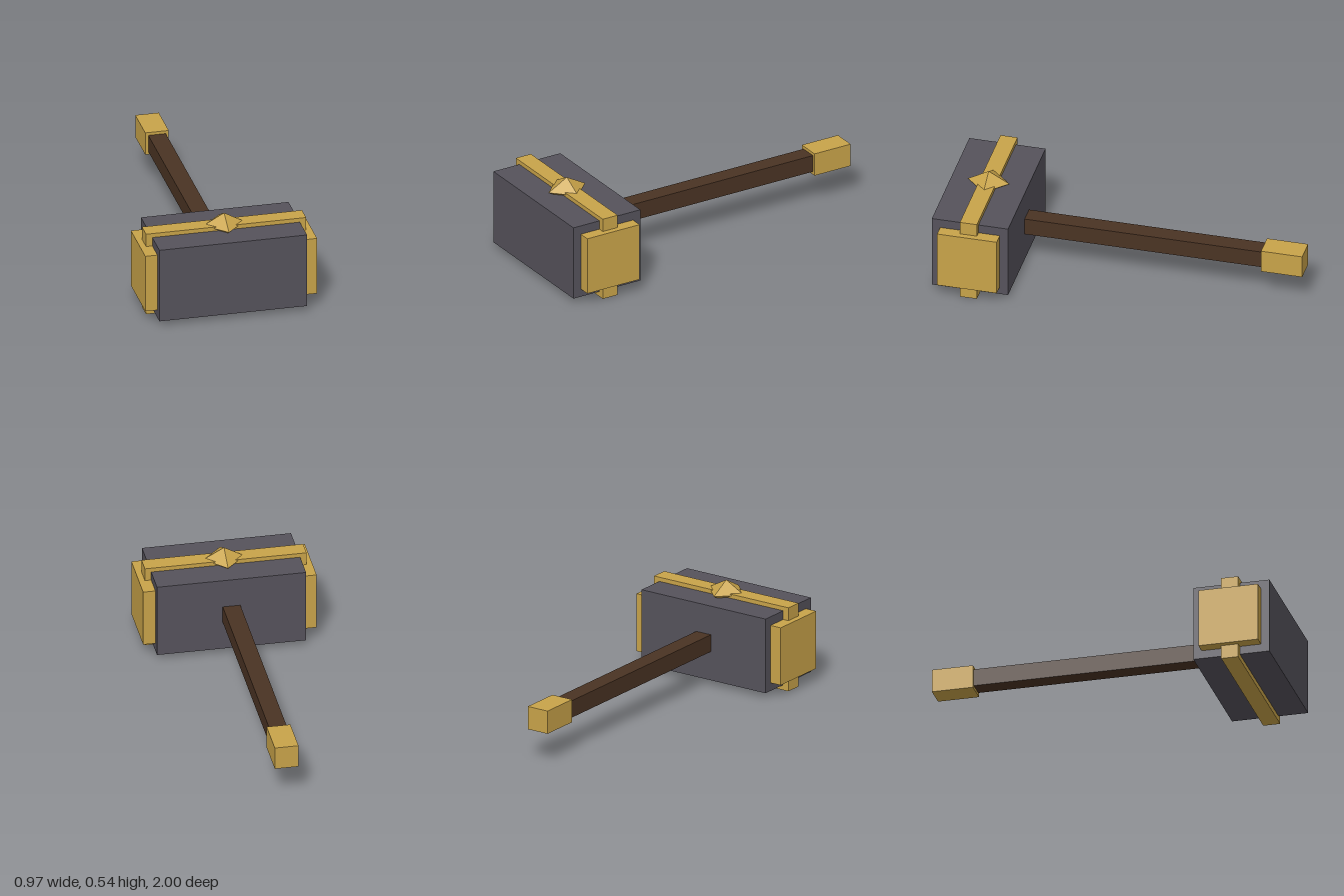
import * as THREE from 'three';

export function createModel() {
  const model = new THREE.Group();
  model.name = 'hammer';

  const material = (name, color) => {
    const m = new THREE.MeshStandardMaterial({ color });
    m.name = name;
    return m;
  };
  const gold = material('gold', 0xc8a349);
  const stone = material('dark stone', 0x55525b);
  const wood = material('dark wood', 0x4a3323);

  const add = (name, geometry, mat, x, y, z) => {
    const mesh = new THREE.Mesh(geometry, mat);
    mesh.name = name;
    mesh.position.set(x, y, z);
    model.add(mesh);
    return mesh;
  };
  const box = (name, mat, w, h, d, x, y, z) =>
    add(name, new THREE.BoxGeometry(w, h, d), mat, x, y, z);

  const headY = 0.243, headZ = 0.785;

  // Head with a band wrapped around its middle
  box('head', stone, 0.83, 0.43, 0.43, 0, headY + 0.002, headZ);
  box('band', gold, 0.9, 0.484, 0.096, 0, 0.242, headZ);

  // Square plates on both striking ends
  for (const side of [1, -1]) {
    const name = side > 0 ? 'leftEndPlate' : 'rightEndPlate';
    box(name, gold, 0.083, 0.333, 0.336, side * 0.4415, headY, headZ);
  }

  // Handle running back from the head, with its pommel
  box('handle', wood, 0.098, 0.098, 1.4, 0, 0.245, -0.1);
  box('pommel', gold, 0.132, 0.132, 0.232, 0, 0.245, -0.884);

  // Flattened eight-sided gem set into the top of the band
  const gem = new THREE.OctahedronGeometry(1, 0);
  gem.scale(0.117, 0.065, 0.117);
  gem.computeVertexNormals();
  add('gem', gem, gold, 0, 0.476, headZ);

  return model;
}
